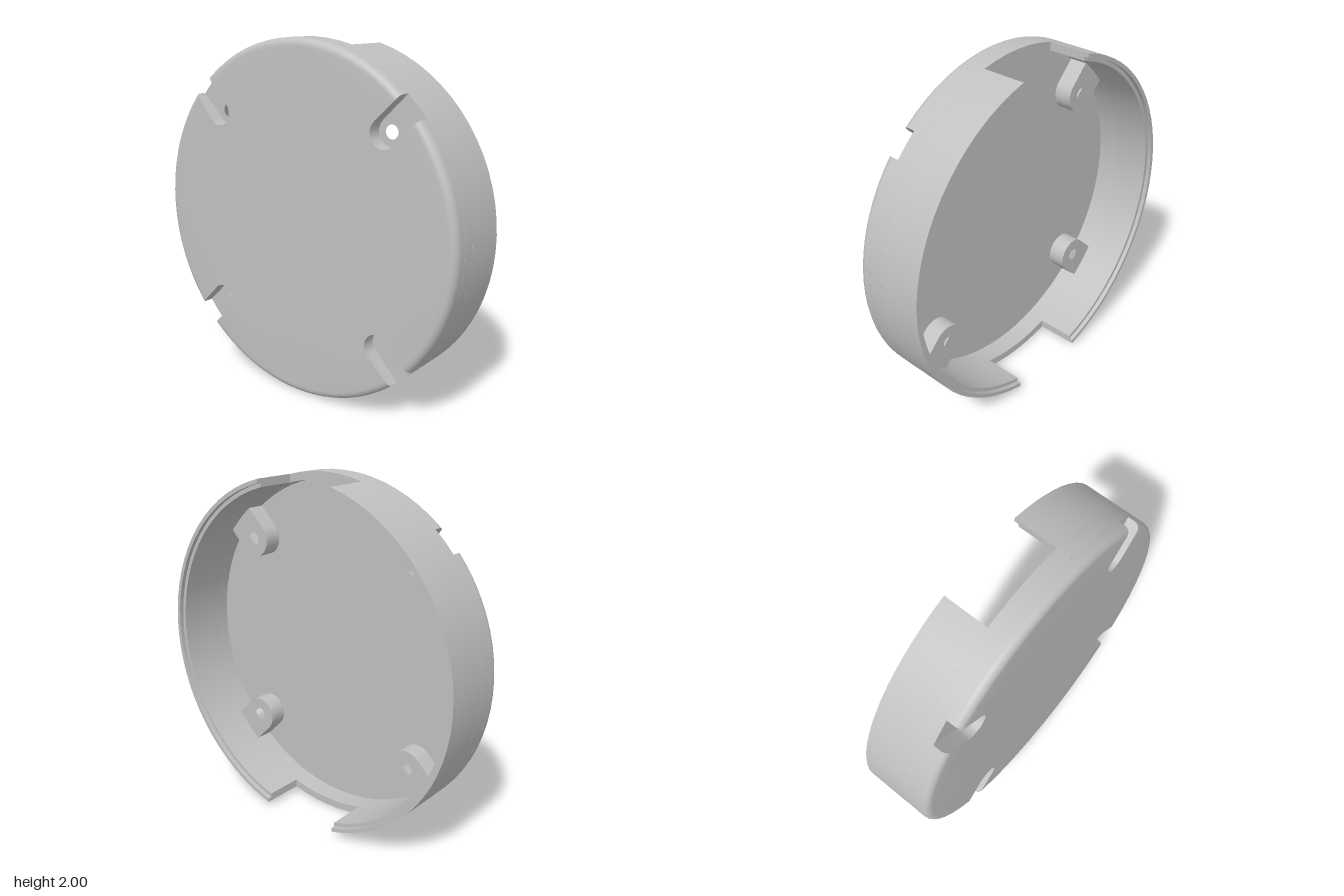
import * as THREE from 'three';
import { toCreasedNormals } from 'three/addons/utils/BufferGeometryUtils.js';

const R = 1, INNER = 0.955, LIP = 0.977;       // radii of the shell
const SLOT = 0.078, BOSS = 0.105, HOLE = 0.037; // half widths and screw hole radius
const SCREW = 0.8;                              // distance of screws from the axis
const NOTCH = 0.25;                             // half width of the rim notches
// levels along the axis, back to open side
const BACK = -0.205, FLOOR = -0.165, POCKET = -0.125, BOSS_TOP = -0.06, CUT = -0.045, LEDGE = 0.18, RIM = 0.205;

const polar = (r, a) => new THREE.Vector2(r * Math.cos(a), r * Math.sin(a));

// points on an arc, in either direction
function arc(r, a0, a1) {
  const n = Math.max(2, Math.ceil(Math.abs(a1 - a0) / (Math.PI / 36)));
  return Array.from({ length: n + 1 }, (_, i) => polar(r, a0 + (a1 - a0) * i / n));
}

// half-round end of a slot or boss lying on the x axis, opening outwards
function roundEnd(r) {
  return Array.from({ length: 17 }, (_, i) => {
    const p = Math.PI * i / 16;
    return new THREE.Vector2(SCREW - r * Math.sin(p), -r * Math.cos(p));
  });
}

const turned = (points, a) => points.map((p) => p.clone().rotateAround(new THREE.Vector2(), a));

// ring segment whose end faces follow half(r)
function sector(r0, r1, mid, half) {
  return new THREE.Shape([
    ...arc(r1, mid - half(r1), mid + half(r1)),
    ...arc(r0, mid + half(r0), mid - half(r0)),
  ]);
}

function extrude(shape, z0, z1, steps = 1) {
  const geo = new THREE.ExtrudeGeometry(shape, { depth: z1 - z0, steps, bevelEnabled: false, curveSegments: 24 });
  return geo.translate(0, 0, z0);
}

export function createModel() {
  const grey = new THREE.MeshStandardMaterial({ color: 0xc0c0c0 });
  grey.name = 'grey plastic';
  const body = new THREE.Group();
  body.name = 'cover';
  const add = (name, geo) => {
    const mesh = new THREE.Mesh(toCreasedNormals(geo, 0.45), grey);
    mesh.name = name;
    body.add(mesh);
  };
  const quarter = (k) => Math.PI / 4 + k * Math.PI / 2;

  // back plate with four open slots
  const outline = [];
  const d = Math.asin(SLOT / R);
  for (let k = 0; k < 4; k++) {
    outline.push(...arc(R, quarter(k - 1) + d, quarter(k) - d));
    outline.push(...turned(roundEnd(SLOT), quarter(k)));
  }
  const plate = extrude(new THREE.Shape(outline), BACK, FLOOR, 5);
  // round the outer back edge
  const f = FLOOR - BACK;
  const pos = plate.attributes.position;
  for (let i = 0; i < pos.count; i++) {
    const t = (pos.getZ(i) - BACK) / f * Math.PI / 2;
    const x = pos.getX(i), y = pos.getY(i);
    const s = Math.hypot(x, y) > 0.99 ? 1 - f * (1 - Math.sin(t)) : 1;
    pos.setXYZ(i, x * s, y * s, BACK + f * (1 - Math.cos(t)));
  }
  add('backPlate', plate);

  // wall beside the slots
  for (let k = 0; k < 4; k++) {
    const half = (r) => Math.PI / 4 - Math.asin(SLOT / r);
    add('lowerWall', extrude(sector(INNER, R, k * Math.PI / 2, half), FLOOR, POCKET));
  }

  // unbroken wall band
  const band = new THREE.Shape(arc(R, 0, Math.PI * 2).slice(0, -1));
  band.holes.push(new THREE.Path(arc(INNER, 0, Math.PI * 2).slice(0, -1)));
  add('wallBand', extrude(band, POCKET, CUT));

  // upper wall and thin lip, broken by two notches
  for (const mid of [0, Math.PI]) {
    const half = (r) => Math.acos(NOTCH / r);
    add('upperWall', extrude(sector(INNER, R, mid, half), CUT, LEDGE));
    add('rimLip', extrude(sector(LIP, R, mid, half), LEDGE, RIM));
  }

  // screw bosses: hollow foot around the slot, pierced top
  const end = 0.965;
  const V = (x, y) => new THREE.Vector2(x, y);
  for (let k = 0; k < 4; k++) {
    const a = quarter(k);
    const foot = [V(end, -BOSS), ...roundEnd(BOSS), V(end, BOSS), V(end, SLOT), ...roundEnd(SLOT).reverse(), V(end, -SLOT)];
    add('bossFoot', extrude(new THREE.Shape(turned(foot, a)), FLOOR, POCKET));
    const top = new THREE.Shape(turned([V(end, -BOSS), ...roundEnd(BOSS), V(end, BOSS)], a));
    const c = polar(SCREW, a);
    top.holes.push(new THREE.Path().absarc(c.x, c.y, HOLE, 0, Math.PI * 2, true));
    add('bossTop', extrude(top, POCKET, BOSS_TOP));
  }

  // stand on edge, open side to the left, leaning slightly
  body.rotation.y = Math.PI / 2;
  const model = new THREE.Group();
  model.name = 'roundCover';
  model.add(body);
  model.rotation.z = -0.013;
  model.position.y = 1;
  const root = new THREE.Group();
  root.add(model);
  return root;
}
